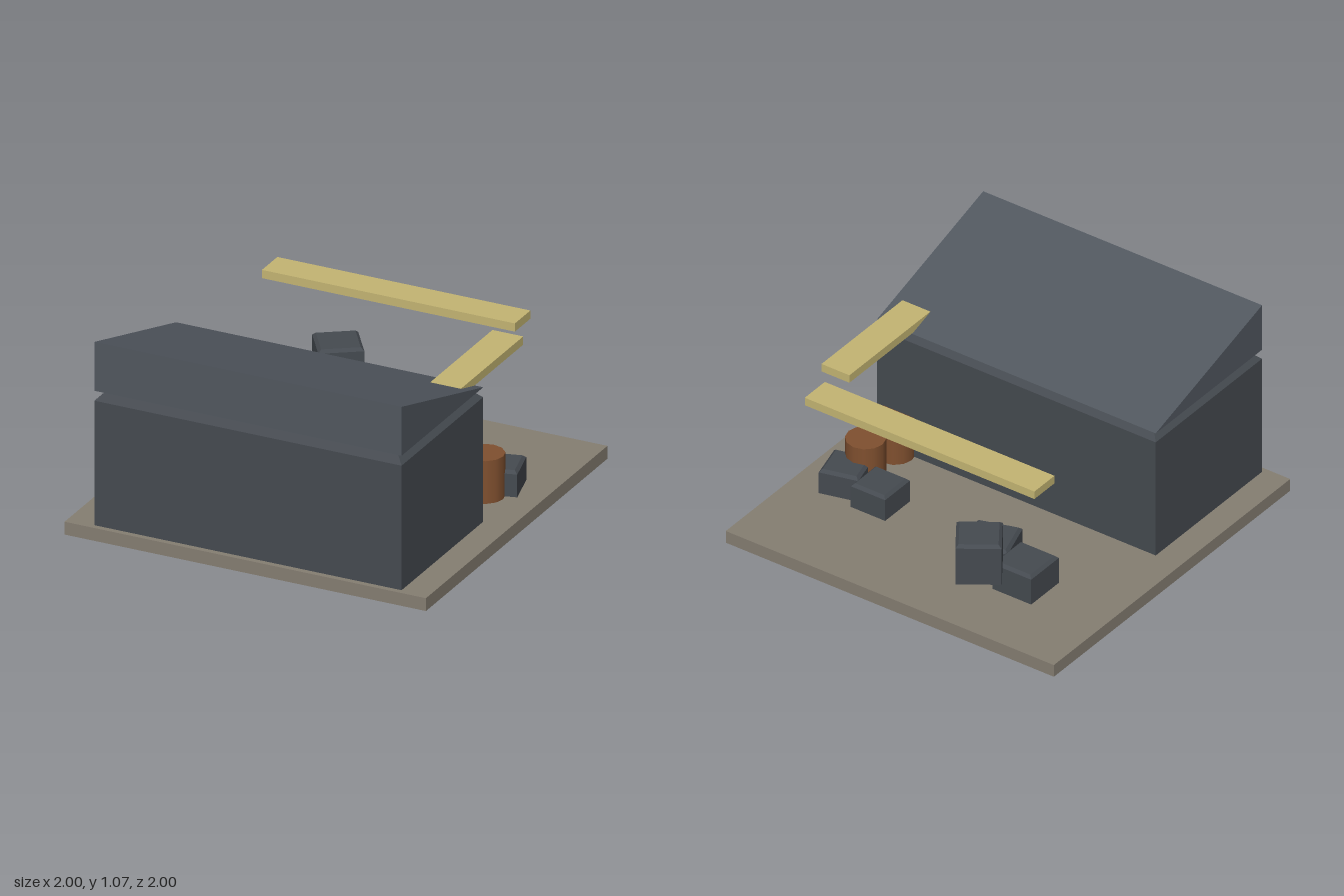
import * as THREE from 'three';

const paint = (color, flatShading = true) => new THREE.MeshStandardMaterial({ color, flatShading });
const stone = paint(0x857e72);
const slate = paint(0x51575f);
const dark = paint(0x454a50);
const wood = paint(0xc4b573);
const rust = paint(0x80502f, false);

// Box standing on y = 0 whose top edges are bevelled inwards
function bevelledBlock(w, h, d, bevel) {
  const rect = (inset) => {
    const x = w / 2 - inset, z = d / 2 - inset;
    return [[-x, z], [x, z], [x, -z], [-x, -z]];
  };
  const rings = [[0, 0], [h - bevel, 0], [h, bevel]].map(([y, inset]) =>
    rect(inset).map(([x, z]) => [x, y, z]));
  const pos = [];
  const quad = (a, b, c, e) => pos.push(...a, ...b, ...c, ...a, ...c, ...e);
  for (let r = 0; r < 2; r++) {
    for (let i = 0; i < 4; i++) {
      const j = (i + 1) % 4;
      quad(rings[r][i], rings[r][j], rings[r + 1][j], rings[r + 1][i]);
    }
  }
  quad(...rings[2]);
  quad(...[...rings[0]].reverse());
  const geo = new THREE.BufferGeometry();
  geo.setAttribute('position', new THREE.Float32BufferAttribute(pos, 3));
  geo.computeVertexNormals();
  return geo;
}

export function createModel() {
  const model = new THREE.Group();
  model.name = 'storageShed';
  const add = (name, geo, mat, x, y, z, turn = 0) => {
    const mesh = new THREE.Mesh(geo, mat);
    mesh.name = name;
    mesh.position.set(x, y, z);
    mesh.rotation.y = turn;
    model.add(mesh);
  };

  // Ground slab
  add('groundSlab', new THREE.BoxGeometry(2, 0.07, 2), stone, 0, 0.035, 0);

  // Main building, sunk through the slab
  add('building', bevelledBlock(1.7, 0.804, 0.9, 0.054), dark, 0, -0.001, 0.52);

  // Lean-to roof: a wedge falling towards the back
  const wedge = new THREE.Shape([
    new THREE.Vector2(-0.97, 0.803),
    new THREE.Vector2(-0.07, 0.803),
    new THREE.Vector2(-0.97, 1.07),
  ]);
  const roof = new THREE.ExtrudeGeometry(wedge, { depth: 1.7, bevelEnabled: false });
  roof.rotateY(Math.PI / 2); // profile runs along -z, depth along x
  add('slopedRoof', roof, slate, -0.85, 0, 0);

  // Overhead planks
  add('backPlank', new THREE.BoxGeometry(1.4, 0.045, 0.17), wood, 0, 0.828, -0.663);
  add('sidePlank', new THREE.BoxGeometry(0.17, 0.045, 0.685), wood, 0.72, 0.828, -0.118);

  // Crates: size, x, y, z, turn
  [
    [0.235, -0.483, 0, -0.52, 0],
    [0.235, -0.23, 0, -0.45, 0.3],
    [0.23, -0.364, 0.237, -0.75, 0.6],
    [0.21, 0.517, 0, -0.363, 0],
    [0.21, 0.745, 0, -0.335, 0.25],
  ].forEach(([s, x, y, z, turn], i) =>
    add(`crate${i + 1}`, bevelledBlock(s, s, s, 0.016), dark, x, y, z, turn));

  // Barrels
  [0.04, -0.21].forEach((z, i) =>
    add(`barrel${i + 1}`, new THREE.CylinderGeometry(0.103, 0.103, 0.303, 12), rust, 0.717, 0.1515, z));

  return model;
}
